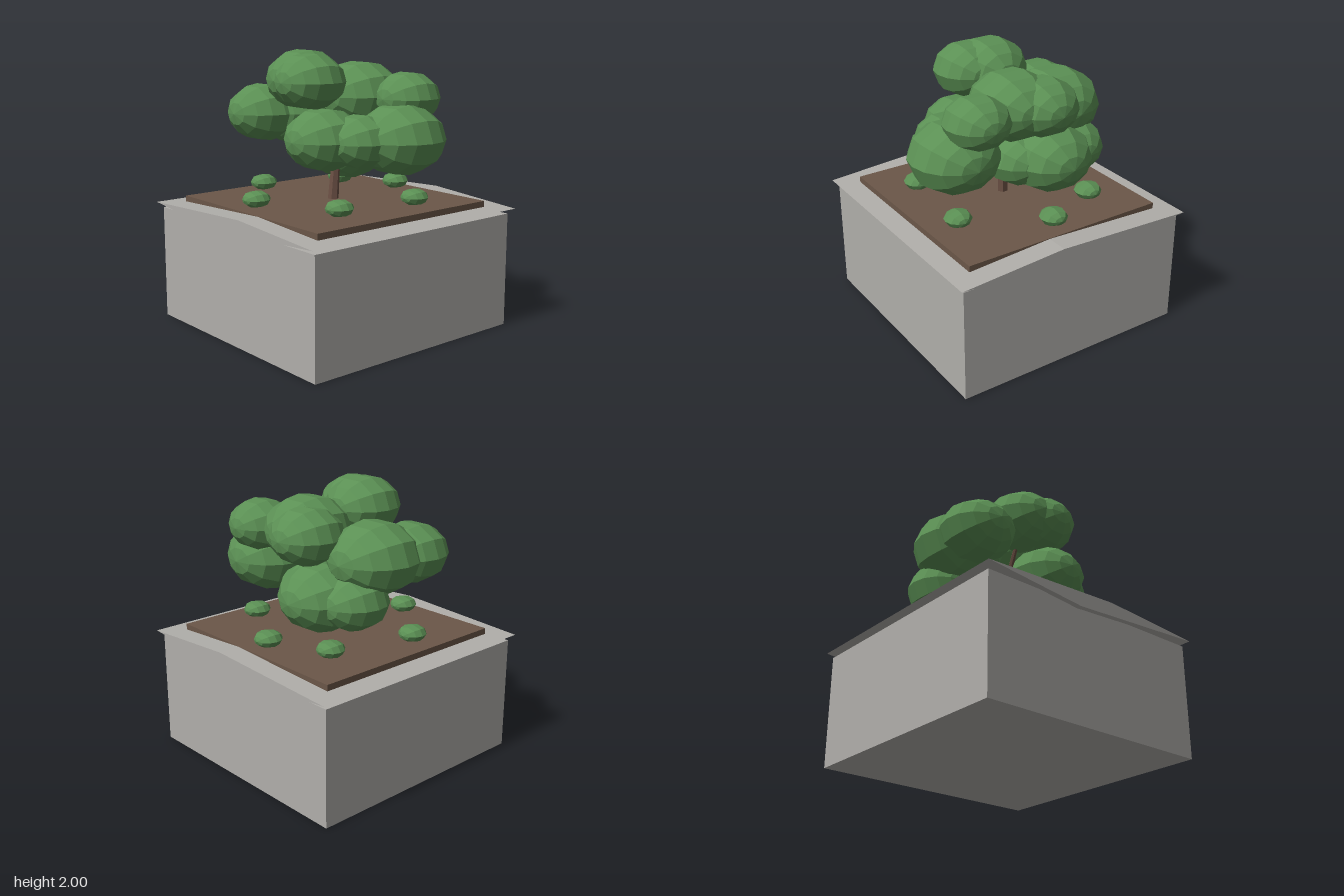
import * as THREE from 'three';

const material = (name, color) => {
  const m = new THREE.MeshStandardMaterial({ color, flatShading: true });
  m.name = name;
  return m;
};

export function createModel() {
  const concrete = material('concrete', 0xb0aeaa);
  const earth = material('earth', 0x6b5748);
  const bark = material('bark', 0x6b5044);
  const leaf = material('leaf', 0x5b9054);

  const model = new THREE.Group();
  model.name = 'planterTree';
  const add = (name, geometry, mat, parent = model) => {
    const mesh = new THREE.Mesh(geometry, mat);
    mesh.name = name;
    parent.add(mesh);
    return mesh;
  };
  const group = (name) => {
    const g = new THREE.Group();
    g.name = name;
    model.add(g);
    return g;
  };

  // Planter box
  add('planterBox', new THREE.BoxGeometry(1.78, 0.83, 1.78).translate(0, 0.415, 0), concrete);

  // Rim: a skewed flat diamond running from side to side
  const profile = new THREE.Shape([[0.925, 0.866], [0.14, 0.917], [-0.92, 0.87], [-0.15, 0.8]]
    .map(([z, y]) => new THREE.Vector2(z, y)));
  const rim = new THREE.ExtrudeGeometry(profile, { depth: 1.86, bevelEnabled: false });
  rim.rotateY(-Math.PI / 2).translate(0.93, 0, 0);
  add('planterRim', rim, concrete);

  // Soil slab
  add('soil', new THREE.BoxGeometry(1.54, 0.07, 1.54).translate(0, 0.885, 0), earth);

  // Tapered limb between two points
  const limb = (name, from, to, r0, r1, parent) => {
    const a = new THREE.Vector3(...from);
    const d = new THREE.Vector3(...to).sub(a);
    const g = new THREE.CylinderGeometry(r1, r0, d.length(), 6).translate(0, d.length() / 2, 0);
    const mesh = add(name, g, bark, parent);
    mesh.position.copy(a);
    mesh.quaternion.setFromUnitVectors(new THREE.Vector3(0, 1, 0), d.normalize());
  };

  // Trunk and branches reaching into the leaf clusters
  const wood = group('trunkAndBranches');
  const fork = [0.03, 1.32, 0.01];
  limb('trunk', [0, 0.9, 0], fork, 0.04, 0.028, wood);
  [[0.2, 1.64, 0.06], [-0.23, 1.76, -0.04], [0.03, 1.5, -0.42], [0.17, 1.4, 0.45], [-0.22, 1.4, 0.19]]
    .forEach((tip) => limb('branch', fork, tip, 0.024, 0.012, wood));

  // Squashed faceted ball whose poles point sideways
  const ball = (name, x, y, z, r, squash, around, along, parent) => {
    const g = new THREE.SphereGeometry(r, around, along);
    g.rotateY(Math.PI / 2).rotateZ(Math.PI / 2).scale(1, squash, 1);
    add(name, g, leaf, parent).position.set(x, y, z);
  };

  // Canopy: x, y, z, radius
  const canopy = group('canopy');
  [
    [-0.23, 1.795, -0.04, 0.27], [-0.29, 1.79, 0.1, 0.25],
    [0.2, 1.67, 0.06, 0.31], [0.335, 1.67, -0.09, 0.26], [0.325, 1.665, 0.42, 0.235],
    [0.03, 1.53, -0.42, 0.33], [-0.26, 1.53, -0.48, 0.27],
    [0.175, 1.395, 0.51, 0.32], [-0.24, 1.395, 0.19, 0.28], [-0.09, 1.39, 0.4, 0.24],
    [0.29, 1.26, -0.19, 0.31], [0.22, 1.26, -0.42, 0.25], [0.2, 1.26, 0, 0.24],
  ].forEach(([x, y, z, r]) => ball('leafCluster', x, y, z, r, 0.79, 10, 8, canopy));

  // Small shrubs in a ring around the trunk
  const shrubs = group('shrubs');
  for (let i = 0; i < 6; i++) {
    const a = i * 1.1;
    ball('shrub', 0.62 * Math.cos(a), 0.98, 0.62 * Math.sin(a), 0.1, 0.6, 8, 6, shrubs);
  }
  return model;
}
